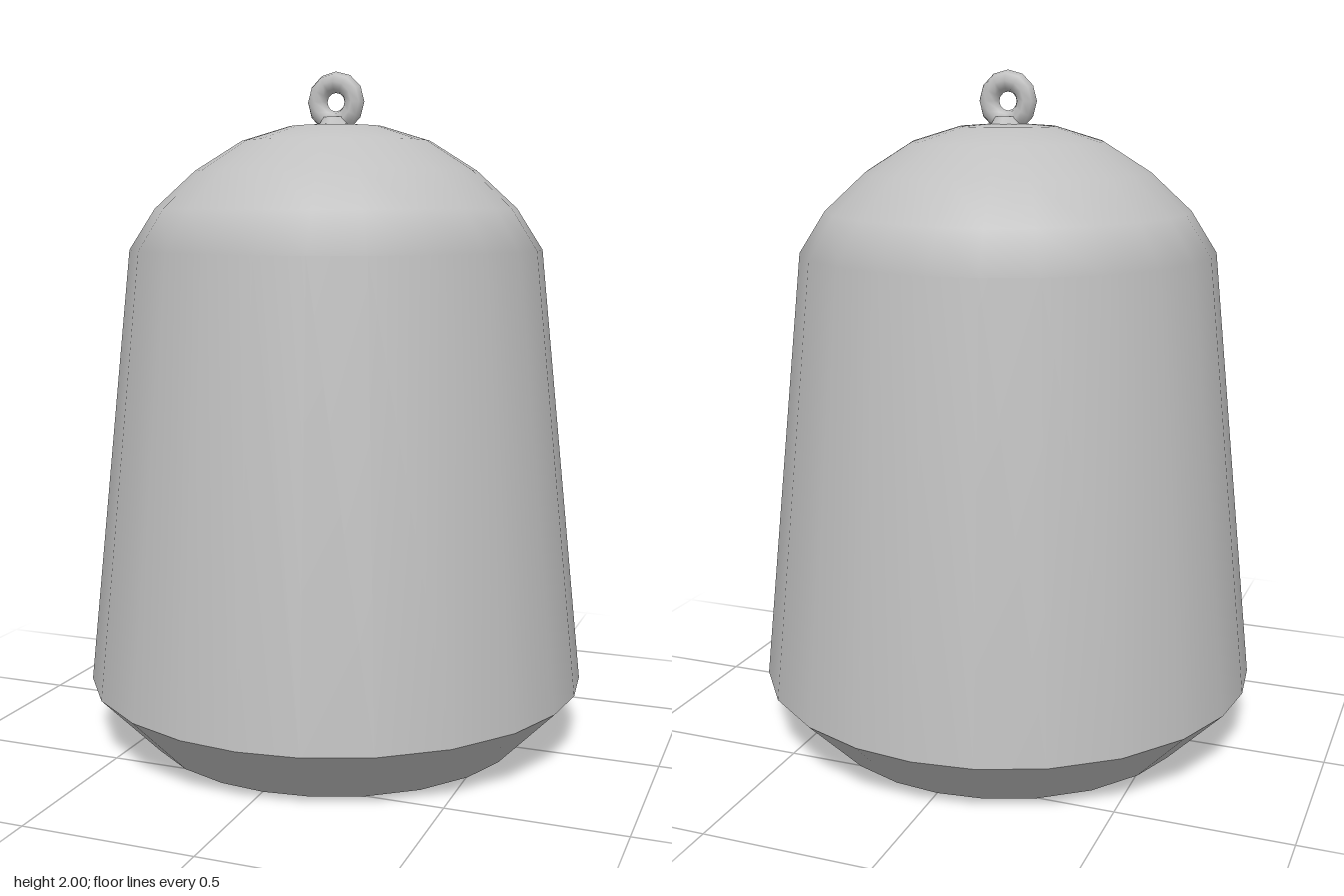
import * as THREE from 'three';

const SIDES = 24;

// Revolve a profile, bunching the facets slightly towards the axes
function turned(points) {
  const geo = new THREE.LatheGeometry(points.map(([r, y]) => new THREE.Vector2(r, y)), SIDES);
  const pos = geo.attributes.position, nor = geo.attributes.normal;
  const up = new THREE.Vector3(0, 1, 0), v = new THREE.Vector3();
  for (let i = 0; i < pos.count; i++) {
    const angle = (Math.floor(i / points.length) / SIDES) * Math.PI * 2;
    const shift = -0.031 * Math.sin(4 * angle);
    for (const attr of [pos, nor]) {
      v.fromBufferAttribute(attr, i).applyAxisAngle(up, shift);
      attr.setXYZ(i, v.x, v.y, v.z);
    }
  }
  return geo;
}

export function createModel() {
  const group = new THREE.Group();
  const grey = new THREE.MeshStandardMaterial({ color: 0xc0c0c0 });
  grey.name = 'grey';

  const add = (name, geo, y = 0) => {
    const mesh = new THREE.Mesh(geo, grey);
    mesh.name = name;
    mesh.position.y = y;
    group.add(mesh);
    return mesh;
  };

  // Flat underside, sharp bevel, then tapered wall running smoothly into the dome
  add('underside', turned([[0, 0], [0.573, 0]]));
  add('baseBevel', turned([[0.573, 0], [0.749, 0.18]]));
  add('bodyAndDome', turned([
    [0.749, 0.18], [0.613, 1.48], [0.537, 1.6], [0.418, 1.71],
    [0.28, 1.797], [0.14, 1.84], [0, 1.85],
  ]));

  // Hanging eyelet on a small flared collar
  add('eyeletCollar', new THREE.CylinderGeometry(0.04, 0.062, 0.035, 8), 1.85);
  add('eyeletRing', new THREE.TorusGeometry(0.058, 0.031, 8, 12), 1.911);

  return group;
}
